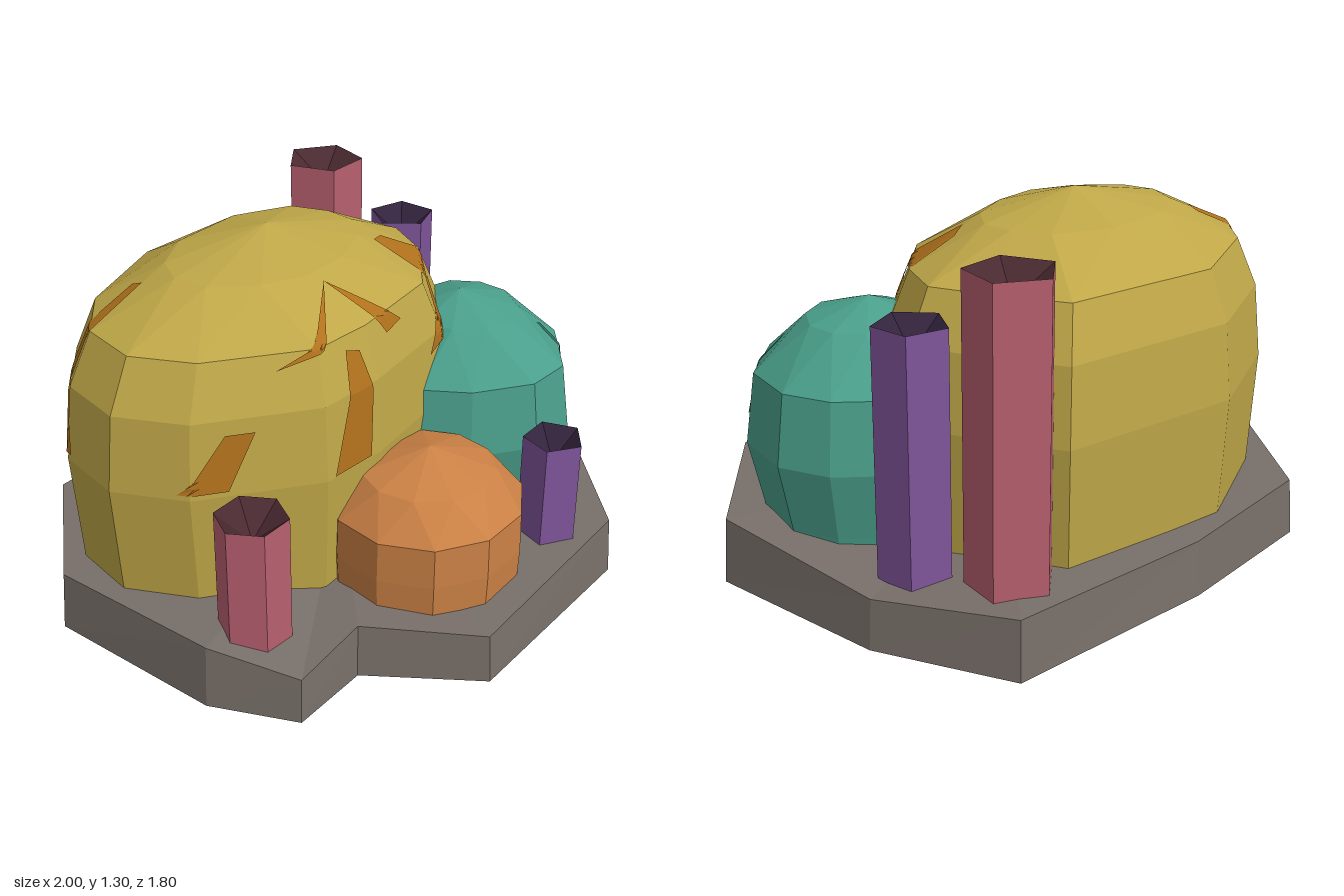
import * as THREE from 'three';

const V = (x, y, z) => new THREE.Vector3(x, y, z);

function meshFrom(points, color, name) {
  const geo = new THREE.BufferGeometry().setFromPoints(points);
  geo.computeVertexNormals();
  const mat = new THREE.MeshStandardMaterial({ color, flatShading: true, side: THREE.DoubleSide });
  const mesh = new THREE.Mesh(geo, mat);
  mesh.name = name;
  return mesh;
}

// Fan from a ring to its apex
const fan = (ring, apex) => ring.flatMap((p, i) => [p, apex, ring[(i + 1) % ring.length]]);

// Skin between a stack of equal-length rings, open at both ends
function skin(rings) {
  const pts = [];
  for (let k = 0; k + 1 < rings.length; k++) {
    const low = rings[k], up = rings[k + 1];
    low.forEach((p, i) => {
      const j = (i + 1) % low.length;
      pts.push(p, up[i], low[j], low[j], up[i], up[j]);
    });
  }
  return pts;
}

const loft = (rings, apex, color, name) =>
  meshFrom([...skin(rings), ...fan(rings[rings.length - 1], apex)], color, name);

// Faceted boulder: levels are [height, scale, half steps turned]
function boulder(outline, levels, apex, color, name) {
  const n = outline.length;
  const rings = levels.map(([y, s, turn]) => outline.map((_, i) => {
    const a = outline[(i + (turn >> 1)) % n];
    const b = outline[(i + (turn >> 1) + 1) % n];
    const t = (turn % 2) / 2;
    const x = a[0] + (b[0] - a[0]) * t, z = a[1] + (b[1] - a[1]) * t;
    return V(apex.x + (x - apex.x) * s, y, apex.z + (z - apex.z) * s);
  }));
  return loft(rings, apex, color, name);
}

function ellipse(cx, cz, rx, rz, n, turn) {
  return Array.from({ length: n }, (_, i) => {
    const a = turn + (i / n) * Math.PI * 2;
    return [cx + Math.cos(a) * rx, cz + Math.sin(a) * rz];
  });
}

// Prism with a dark sunken top
function crystal(cx, cz, r, top, sides, turn, color, darkColor, name) {
  const outline = ellipse(cx, cz, r, r, sides, turn);
  const [low, high] = [0.13, top].map((y) => outline.map(([x, z]) => V(x, y, z)));
  const group = new THREE.Group();
  group.name = name;
  group.add(
    meshFrom(skin([low, high]), color, 'crystalSides'),
    meshFrom(fan(high, V(cx, top - 0.1, cz)), darkColor, 'crystalHollow'),
  );
  return group;
}

// Thin four-cornered vein laid over a rock, cast along -z or (fromSide) along +x
function vein(rock, corners, fromSide, color, name) {
  const N = 8, grid = [], pts = [];
  const dir = fromSide ? V(1, 0, 0) : V(0, 0, -1);
  const ray = new THREE.Raycaster();
  for (let i = 0; i <= N; i++) for (let j = 0; j <= N; j++) {
    const u = i / N, v = j / N;
    const [a, b] = [0, 1].map((c) =>
      (corners[0][c] * (1 - u) + corners[1][c] * u) * (1 - v) +
      (corners[3][c] * (1 - u) + corners[2][c] * u) * v);
    ray.set(fromSide ? V(-3, b, a) : V(a, b, 3), dir);
    const hit = ray.intersectObject(rock)[0];
    grid.push(hit ? hit.point.clone().addScaledVector(dir, -0.008) : null);
  }
  const tri = (...t) => { if (t.every(Boolean)) pts.push(...t); };
  for (let i = 0; i < N; i++) for (let j = 0; j < N; j++) {
    const k = i * (N + 1) + j;
    const [a, b, c, d] = [grid[k], grid[k + 1], grid[k + N + 1], grid[k + N + 2]];
    tri(a, c, b);
    tri(b, c, d);
  }
  return meshFrom(pts, color, name);
}

export function createModel() {
  const group = new THREE.Group();
  group.name = 'rockCluster';

  // Ground slab, open underneath: x, z, top height
  const slab = [
    [1, 0.41, 0.235], [0.49, 0.9, 0.22], [-0.32, 0.9, 0.18], [-0.57, 0.53, 0.2],
    [-0.87, 0.53, 0.165], [-1, 0.23, 0.23], [-1, -0.45, 0.22], [-0.59, -0.9, 0.21],
    [0.03, -0.9, 0.2], [0.84, -0.78, 0.21], [1, -0.29, 0.175],
  ];
  group.add(loft([
    slab.map(([x, z]) => V(x, 0, z)),
    slab.map(([x, z, y]) => V(x * 0.985, y, z * 0.985)),
  ], V(0, 0.2, 0), 0x786f69, 'groundSlab'));

  // Large boulder
  const bigOutline = [
    [0.68, -0.15], [0.56, 0.06], [0.28, 0.28], [-0.18, 0.33], [-0.45, 0.31],
    [-0.82, 0.03], [-0.94, -0.22], [-0.88, -0.48], [-0.66, -0.68], [-0.2, -0.84],
    [0.49, -0.69], [0.6, -0.42],
  ];
  const big = boulder(bigOutline,
    [[0.15, 0.96, 0], [0.63, 1, 0], [0.9, 0.96, 0], [1.08, 0.85, 0], [1.22, 0.5, 1]],
    V(-0.1, 1.3, -0.24), 0xbfa748, 'largeBoulder');
  group.add(big);

  // Amber veins on the large boulder
  const frontVeins = [
    [[-0.71, 0.85], [-0.63, 0.85], [-0.72, 0.65], [-0.84, 0.65]],
    [[-0.33, 0.88], [-0.21, 0.88], [-0.24, 0.64], [-0.42, 0.64]],
    [[-0.29, 1.04], [-0.23, 1.02], [-0.21, 0.88], [-0.33, 0.88]],
    [[-0.53, 1.03], [-0.4, 1.09], [-0.18, 1.2], [-0.38, 1.07]],
    [[-0.18, 1.2], [-0.08, 1.12], [0.03, 1.03], [-0.07, 1.02]],
    [[0.22, 1.19], [0.3, 1.17], [0.45, 1.09], [0.33, 1.03]],
    [[0.3, 1.05], [0.37, 1.03], [0.32, 0.88], [0.17, 0.84]],
  ];
  const sideVeins = [
    [[-0.42, 1.18], [-0.47, 1.16], [-0.56, 0.93], [-0.48, 0.92]],
    [[-0.48, 0.92], [-0.56, 0.93], [-0.53, 0.66], [-0.45, 0.66]],
  ];
  for (const c of frontVeins) group.add(vein(big, c, false, 0xb0711c, 'amberVein'));
  for (const c of sideVeins) group.add(vein(big, c, true, 0xb0711c, 'amberVein'));

  // Teal boulder with a dark crack
  const tealOutline = [
    [0.925, 0.19], [0.85, 0.43], [0.6, 0.62], [0.4, 0.61], [0.19, 0.46],
    [0.08, 0.28], [0.16, 0.02], [0.4, -0.17], [0.7, -0.18], [0.87, 0],
  ];
  const teal = boulder(tealOutline,
    [[0.14, 0.85, 0], [0.22, 0.88, 0], [0.47, 1, 0], [0.72, 0.92, 0], [0.89, 0.53, 1]],
    V(0.48, 0.96, 0.19), 0x4a9f8b, 'tealBoulder');
  group.add(teal);
  group.add(vein(teal, [[0.66, 0.82], [0.7, 0.8], [0.83, 0.57], [0.79, 0.56]], false, 0x2c6b5e, 'tealCrack'));

  // Orange boulder
  group.add(boulder(ellipse(-0.08, 0.455, 0.355, 0.345, 11, 0.15),
    [[0.13, 0.98, 0], [0.3, 1, 0], [0.45, 0.99, 0], [0.57, 0.71, 1]],
    V(-0.08, 0.65, 0.46), 0xcb8145, 'orangeBoulder'));

  // Crystals
  const pink = [0xb8606f, 0x4a2a31], purple = [0x80559a, 0x33243d], quarter = Math.PI / 2;
  group.add(
    crystal(0.65, -0.585, 0.153, 1.24, 5, -quarter, ...pink, 'tallPinkCrystal'),
    crystal(0.775, -0.288, 0.127, 1.04, 5, Math.PI, ...purple, 'tallPurpleCrystal'),
    crystal(-0.78, 0.26, 0.125, 0.65, 6, 0, ...pink, 'shortPinkCrystal'),
    crystal(0.31, 0.725, 0.11, 0.6, 5, quarter, ...purple, 'shortPurpleCrystal'),
  );

  return group;
}
